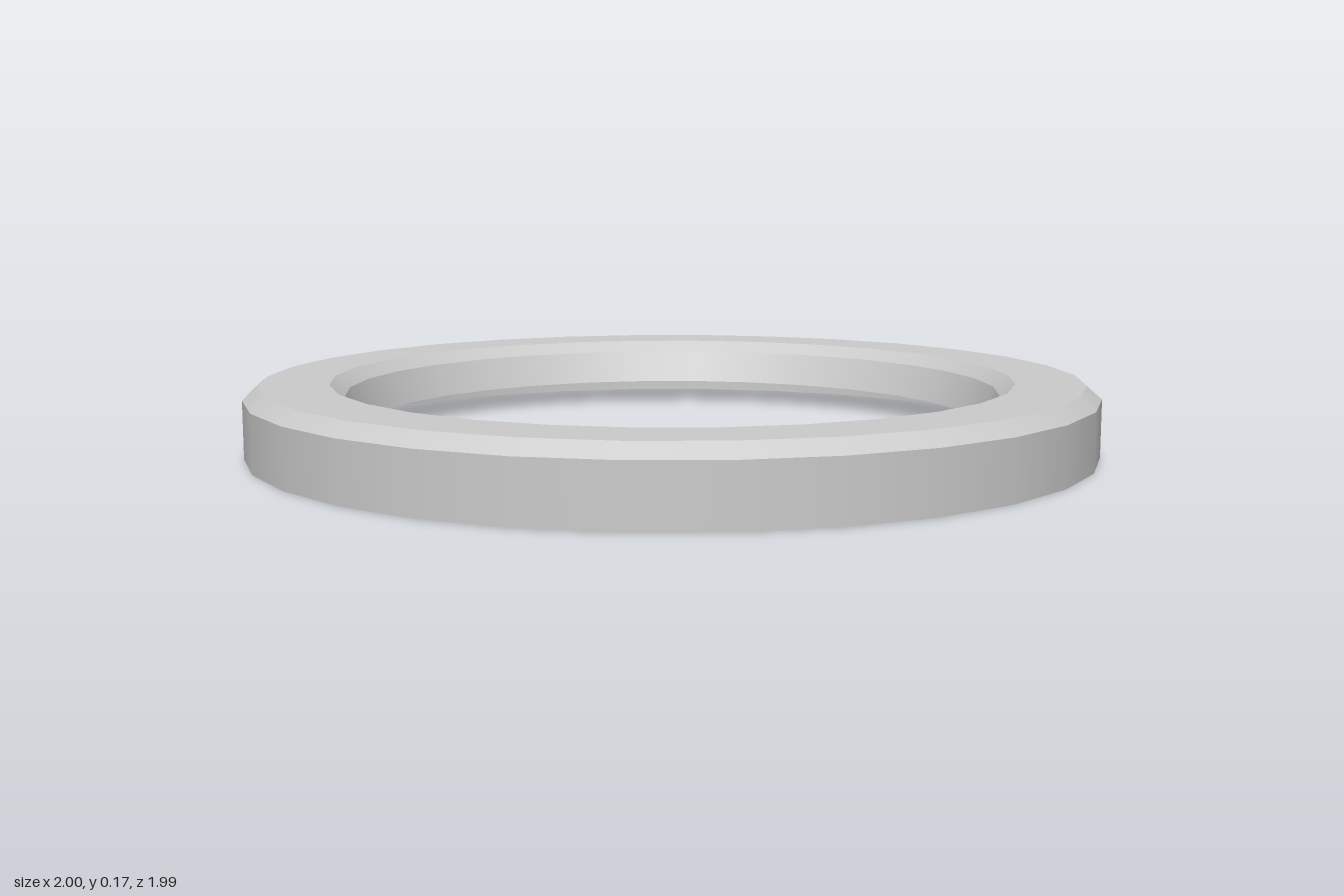
import * as THREE from 'three';

const SIDES = 30;

export function createModel() {
  const model = new THREE.Group();
  model.name = 'ring';
  // the ring is an open-bottomed shell, so both sides show
  const material = new THREE.MeshStandardMaterial({ color: 0xcccccc, side: THREE.DoubleSide });

  // profile as [radius, height], from the outer foot over the top to the inner lip
  const profile = [
    [1.0, 0], [1.0, 0.135], [0.965, 0.165],
    [0.805, 0.165], [0.77, 0.138], [0.735, 0.058],
  ].map(([r, y]) => new THREE.Vector2(r, y));
  const names = ['outerWall', 'outerBevel', 'topFace', 'innerBevel', 'innerWall'];

  // one band per profile segment: smooth around, creased between bands
  names.forEach((name, i) => {
    const band = new THREE.LatheGeometry([profile[i], profile[i + 1]], SIDES, Math.PI / 2);
    const mesh = new THREE.Mesh(band, material);
    mesh.name = name;
    model.add(mesh);
  });
  return model;
}
